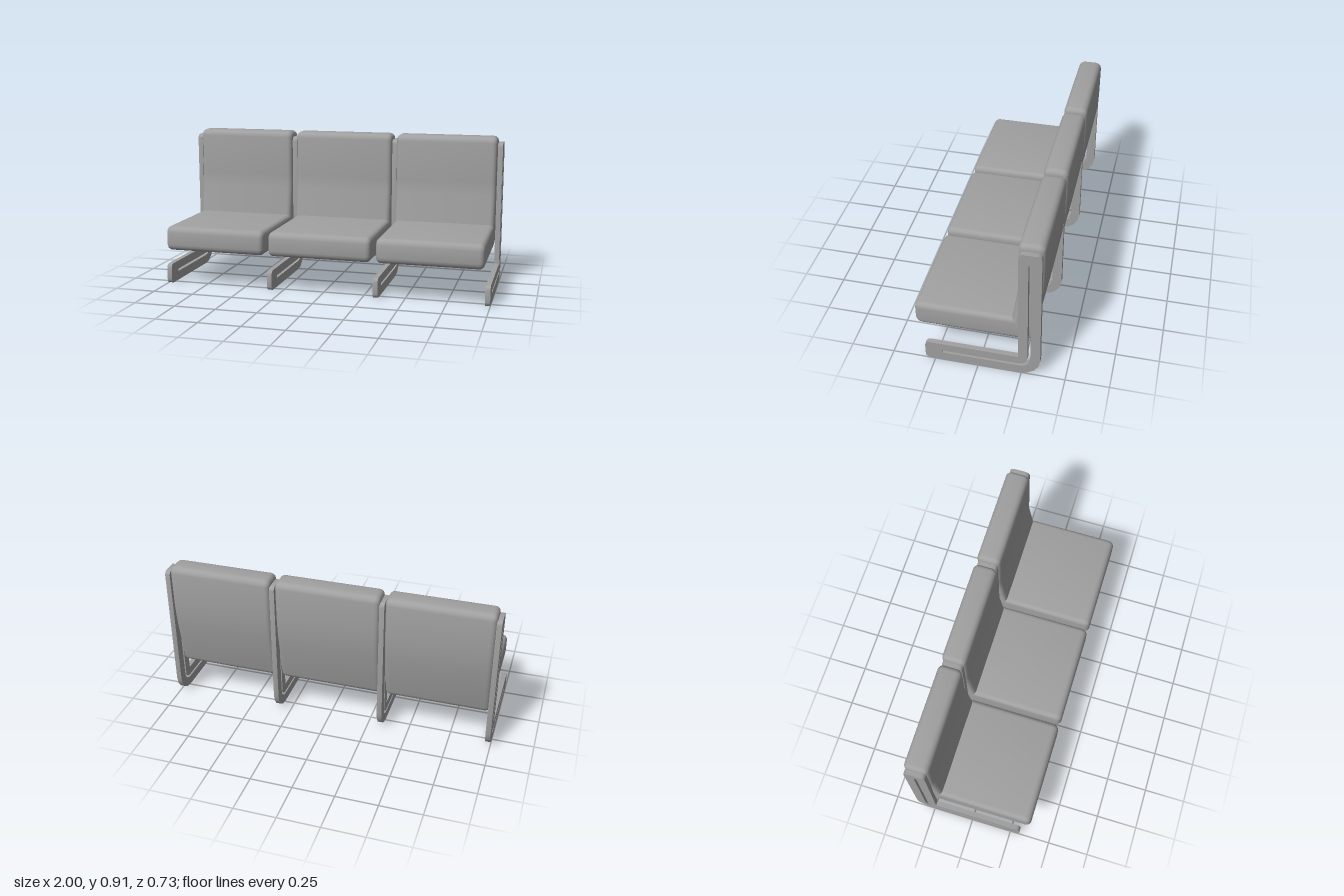
import * as THREE from 'three';
import { toCreasedNormals } from 'three/addons/utils/BufferGeometryUtils.js';

// Closed outline from corners [z, y, radius], each corner rounded by its radius.
function roundedPath(corners, path) {
  const n = corners.length;
  corners.forEach(([z, y, r = 0], i) => {
    const p = new THREE.Vector2(z, y);
    const toward = (c, d) => p.clone().add(new THREE.Vector2(c[0], c[1]).sub(p).setLength(d));
    const prev = corners[(i + n - 1) % n], next = corners[(i + 1) % n];
    const a = r ? toward(prev, r) : p;
    if (i === 0) path.moveTo(a.x, a.y);
    else path.lineTo(a.x, a.y);
    if (r) {
      const b = toward(next, r), k = 0.45 * r;
      const c1 = toward(prev, k), c2 = toward(next, k);
      path.bezierCurveTo(c1.x, c1.y, c2.x, c2.y, b.x, b.y);
    }
  });
  return path;
}

// Extrude a side profile across x, centred on x = 0, with optional rounded sides.
function extrudeAcross(shape, width, bevel = 0) {
  const geometry = new THREE.ExtrudeGeometry(shape, {
    depth: width - 2 * bevel,
    curveSegments: 4,
    bevelEnabled: bevel > 0,
    bevelThickness: bevel,
    bevelSize: bevel,
    bevelOffset: -bevel,
    bevelSegments: 4,
  });
  geometry.translate(0, 0, bevel - width / 2);
  geometry.rotateY(-Math.PI / 2);
  return toCreasedNormals(geometry, 0.65);
}

export function createModel() {
  const group = new THREE.Group();
  group.name = 'threeSeatBench';
  const grey = new THREE.MeshStandardMaterial({ color: 0xa0a0a0 });
  grey.name = 'grey';

  // L-shaped flat frame with a slot that follows its bend
  const frameShape = roundedPath([
    [0.307, 0, 0.027], [0.307, 0.123, 0.027], [-0.232, 0.123],
    [-0.232, 0.88, 0.027], [-0.357, 0.88, 0.027], [-0.357, 0, 0.115],
  ], new THREE.Shape());
  frameShape.holes.push(roundedPath([
    [0.208, 0.056], [0.208, 0.071], [-0.285, 0.071, 0.047],
    [-0.285, 0.81], [-0.301, 0.81], [-0.301, 0.056, 0.062],
  ], new THREE.Path()));
  const frameGeometry = extrudeAcross(frameShape, 0.03);

  // Seat and backrest as one padded shell
  const cushionShape = roundedPath([
    [0.368, 0.225, 0.038], [0.368, 0.375, 0.038], [-0.187, 0.375],
    [-0.221, 0.59, 0.04], [-0.221, 0.914, 0.038], [-0.367, 0.914, 0.038],
    [-0.365, 0.6, 0.08], [-0.303, 0.225, 0.035],
  ], new THREE.Shape());
  const cushionGeometry = extrudeAcross(cushionShape, 0.626, 0.03);

  // Four frames with three seats between them
  const pitch = 0.6567;
  for (let i = 0; i < 4; i++) {
    const frame = new THREE.Mesh(frameGeometry, grey);
    frame.name = `frame${i + 1}`;
    frame.position.x = -0.985 + i * pitch;
    group.add(frame);
  }
  for (let i = 0; i < 3; i++) {
    const cushion = new THREE.Mesh(cushionGeometry, grey);
    cushion.name = `seatCushion${i + 1}`;
    cushion.position.x = -0.004 + (i - 1) * pitch;
    group.add(cushion);
  }
  return group;
}
